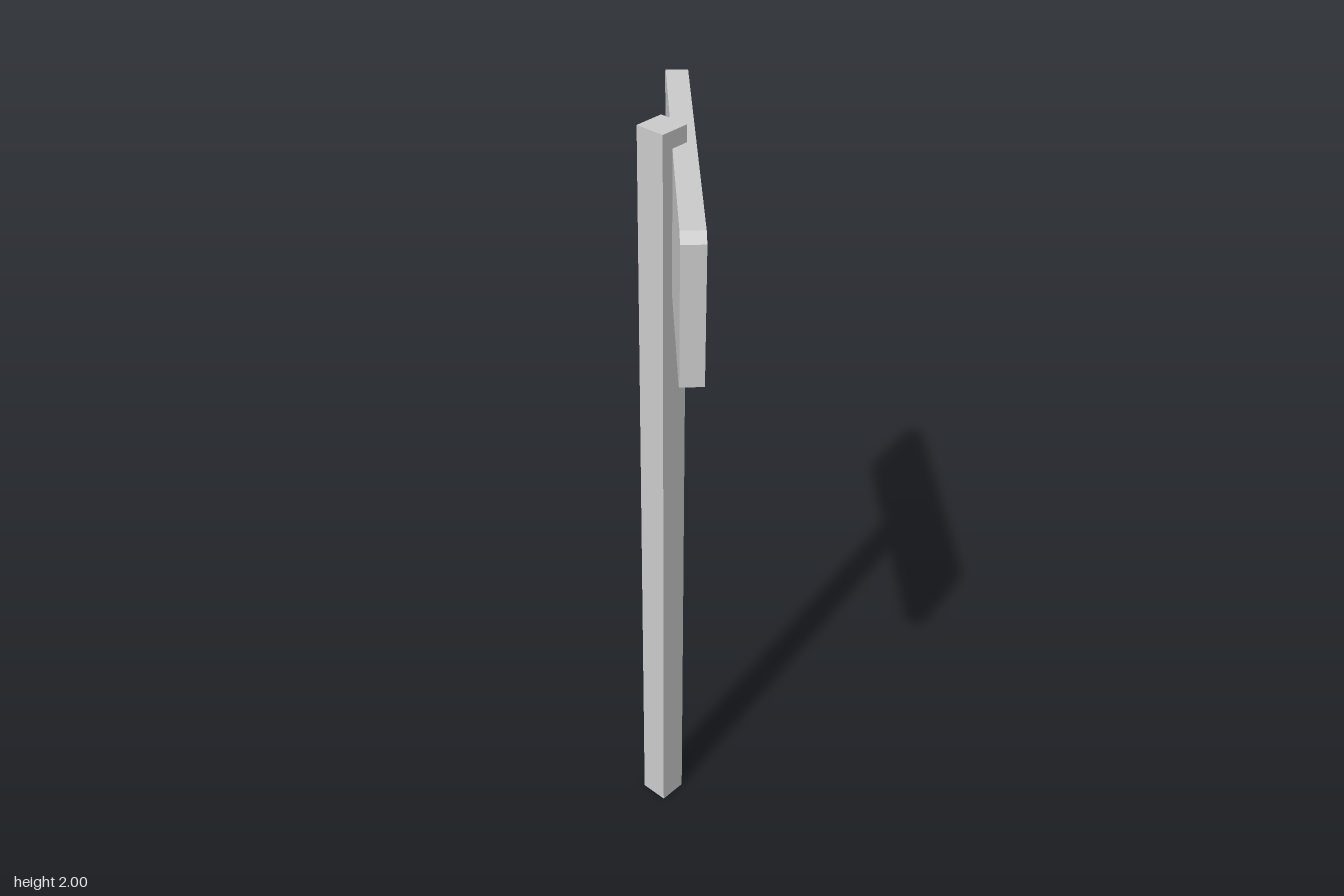
import * as THREE from 'three';

export function createModel() {
  const group = new THREE.Group();
  const material = new THREE.MeshStandardMaterial({ color: 0xcccccc, flatShading: true });

  // Square post turned 45 degrees, corners pointing along x and z
  const radius = 0.053, height = 2;
  const post = new THREE.Mesh(new THREE.CylinderGeometry(radius, radius, height, 4), material);
  post.name = 'post';
  post.position.set(-0.01, height / 2, 0);
  group.add(post);

  // Sign board with clipped corners, facing +x
  const w = 0.432, h = 0.175, cutX = 0.03, cutY = 0.015, thickness = 0.052;
  const outline = new THREE.Shape([
    [-w + cutX, -h], [w - cutX, -h], [w, -h + cutY], [w, h - cutY],
    [w - cutX, h], [-w + cutX, h], [-w, h - cutY], [-w, -h + cutY],
  ].map(([x, y]) => new THREE.Vector2(x, y)));
  const boardGeometry = new THREE.ExtrudeGeometry(outline, { depth: thickness, bevelEnabled: false });
  boardGeometry.rotateY(Math.PI / 2);
  const board = new THREE.Mesh(boardGeometry, material);
  board.name = 'signBoard';
  board.position.set(0.011, 1.785, 0);
  group.add(board);

  return group;
}
